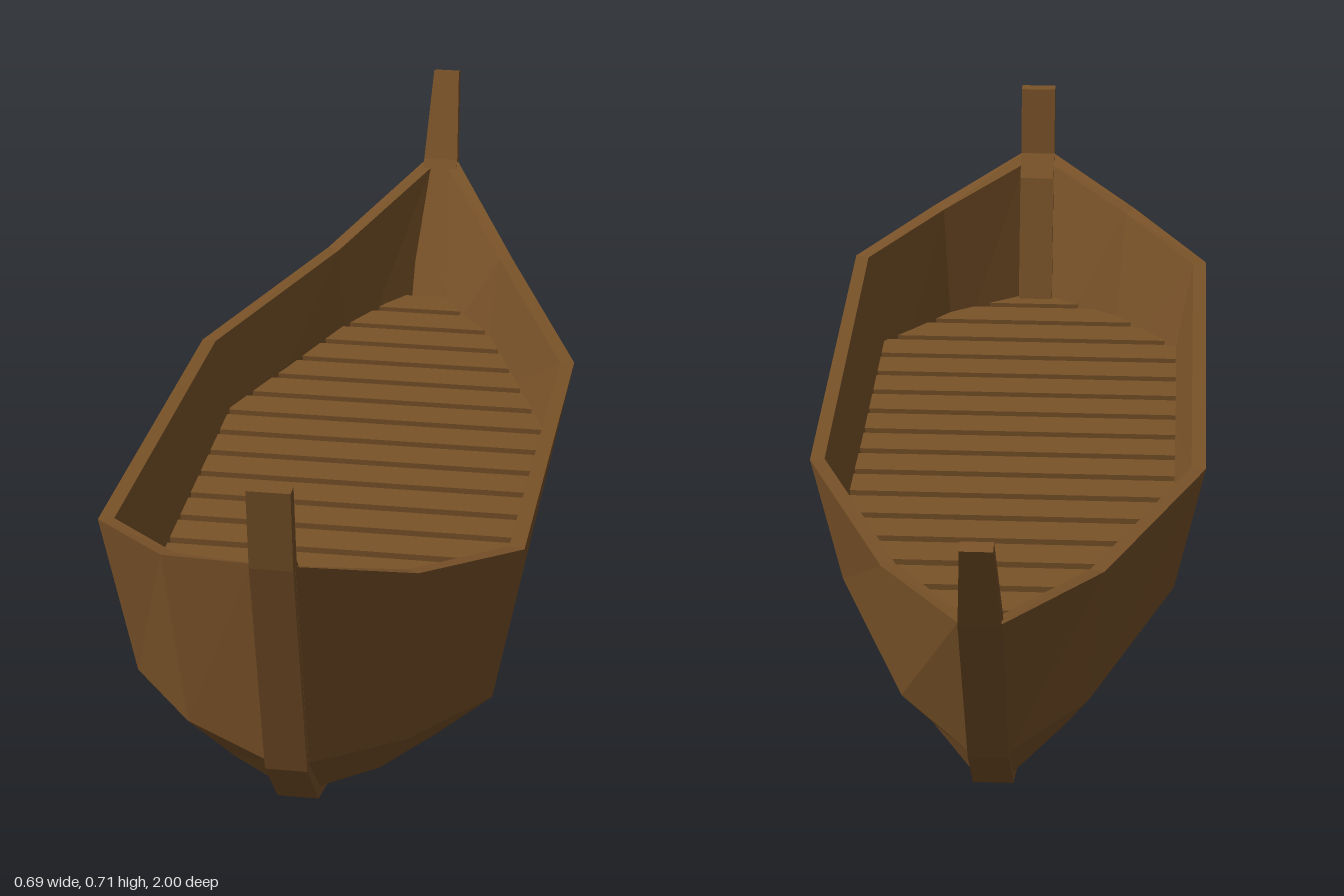
import * as THREE from 'three';

const wood = new THREE.MeshStandardMaterial({ color: 0x7a5329, flatShading: true, side: THREE.DoubleSide });

// Port half of each hull line, bow to stern: [x, y, z]
const hullLines = [
  [[0.034, 0.022, 0.57], [0.055, 0.023, 0.55], [0.075, 0.025, 0.51], [0.075, 0.025, -0.12], [0.055, 0.024, -0.36], [0.034, 0.022, -0.47]],
  [[0.034, 0.075, 0.77], [0.12, 0.075, 0.70], [0.195, 0.074, 0.58], [0.195, 0.074, -0.13], [0.11, 0.075, -0.46], [0.034, 0.075, -0.61]],
  [[0.034, 0.18, 0.875], [0.178, 0.182, 0.78], [0.293, 0.182, 0.63], [0.293, 0.182, -0.15], [0.155, 0.18, -0.55], [0.034, 0.18, -0.72]],
  [[0.034, 0.575, 0.97], [0.2, 0.51, 0.84], [0.343, 0.47, 0.66], [0.343, 0.425, -0.17], [0.18, 0.447, -0.6], [0.034, 0.52, -0.915]],
];

// Piecewise linear lookup in a table of [position, value], position rising
function lookUp(table, u) {
  const i = Math.max(1, table.findIndex(e => e[0] >= u));
  const [u0, v0] = table[i - 1], [u1, v1] = table[i];
  return v0 + (v1 - v0) * (u - u0) / (u1 - u0);
}

// Mirror a half line into a closed ring
const ringOf = half => [
  ...half.map(p => new THREE.Vector3(...p)),
  ...half.map(([x, y, z]) => new THREE.Vector3(-x, y, z)).reverse(),
];

// Move a ring inward by d in plan, with mitred corners, and lift it
function inset(ring, d, lift) {
  const n = ring.length;
  const inward = (a, b) => new THREE.Vector2(b.z - a.z, a.x - b.x).normalize();
  return ring.map((p, i) => {
    const n1 = inward(ring[(i + n - 1) % n], p), n2 = inward(p, ring[(i + 1) % n]);
    const k = d / (1 + n1.dot(n2));
    return new THREE.Vector3(p.x + (n1.x + n2.x) * k, p.y + lift, p.z + (n1.y + n2.y) * k);
  });
}

// Loft closed rings into one faceted skin
function loft(rings) {
  const out = [];
  const tri = (...pts) => pts.forEach(p => out.push(p.x, p.y, p.z));
  for (let r = 0; r < rings.length - 1; r++) {
    const a = rings[r], b = rings[r + 1];
    a.forEach((p, i) => {
      const j = (i + 1) % a.length;
      tri(p, a[j], b[j]);
      tri(p, b[j], b[i]);
    });
  }
  const g = new THREE.BufferGeometry();
  g.setAttribute('position', new THREE.Float32BufferAttribute(out, 3));
  g.computeVertexNormals();
  return g;
}

// Extrude a closed outline of [u, v] pairs
const prism = (points, depth) => new THREE.ExtrudeGeometry(
  new THREE.Shape(points.map(([u, v]) => new THREE.Vector2(u, v))), { depth, bevelEnabled: false });

function add(parent, geometry, name) {
  const mesh = new THREE.Mesh(geometry, wood);
  mesh.name = name;
  parent.add(mesh);
}

export function createModel() {
  const boat = new THREE.Group();
  boat.name = 'rowingBoat';

  // Hull: outer planking, gunwale, inner planking, closed along the bottom
  const outer = hullLines.map(ringOf);
  const lifts = [0.025, 0.02, 0, 0];
  const inner = outer.map((ring, i) => inset(ring, 0.025, lifts[i]));
  // The inner edge of the gunwale follows the same sheer
  const sheer = hullLines[3].map(([, y, z]) => [z, y]).reverse();
  inner[3].forEach(p => { p.y = lookUp(sheer, p.z); });
  inner.reverse();
  const centreLine = ring => ring.map(p => new THREE.Vector3(0, p.y, p.z));
  add(boat, loft([centreLine(outer[0]), ...outer, ...inner, centreLine(inner[3])]), 'hull');

  // Keel with stem and stern post, side profile as [z, y]
  const keel = prism([
    [1, 0.71], [0.985, 0.575], [0.885, 0.17], [0.785, 0.06], [0.57, 0],
    [-0.47, 0], [-0.605, 0.05], [-0.725, 0.17], [-0.925, 0.52], [-1, 0.685],
    [-0.977, 0.69], [-0.9, 0.53], [-0.725, 0.28], [-0.58, 0.085], [-0.45, 0.055],
    [0.55, 0.055], [0.75, 0.09], [0.85, 0.25], [0.92, 0.54], [0.957, 0.58], [0.975, 0.71],
  ], 0.067);
  keel.translate(0, 0, -0.0335).rotateY(-Math.PI / 2);
  // Narrow the top of the stern post
  const pos = keel.attributes.position;
  for (let i = 0; i < pos.count; i++) if (pos.getZ(i) < -0.95) pos.setX(i, pos.getX(i) * 0.75);
  keel.computeVertexNormals();
  add(boat, keel, 'keel');

  // Floor planks cut to the inside of the hull: [z, half width]
  const floorEdge = [[-0.73, 0.055], [-0.55, 0.147], [-0.15, 0.29], [0.63, 0.29], [0.79, 0.175], [0.875, 0.06]];
  const floor = new THREE.Group();
  floor.name = 'floor';
  boat.add(floor);
  const pitch = 0.087, gap = 0.02;
  for (let i = 0; i < 19; i++) {
    const z0 = -0.73 + i * pitch, z1 = Math.min(z0 + pitch - gap, 0.874);
    const zs = [z0, ...floorEdge.map(e => e[0]).filter(z => z > z0 + 1e-4 && z < z1 - 1e-4), z1];
    const side = zs.map(z => [lookUp(floorEdge, z), -z]);
    const plank = prism([...side, ...side.map(([x, v]) => [-x, v]).reverse()], 0.02);
    plank.rotateX(-Math.PI / 2).translate(0, 0.28, 0);
    add(floor, plank, 'floorPlank');
  }
  return boat;
}
